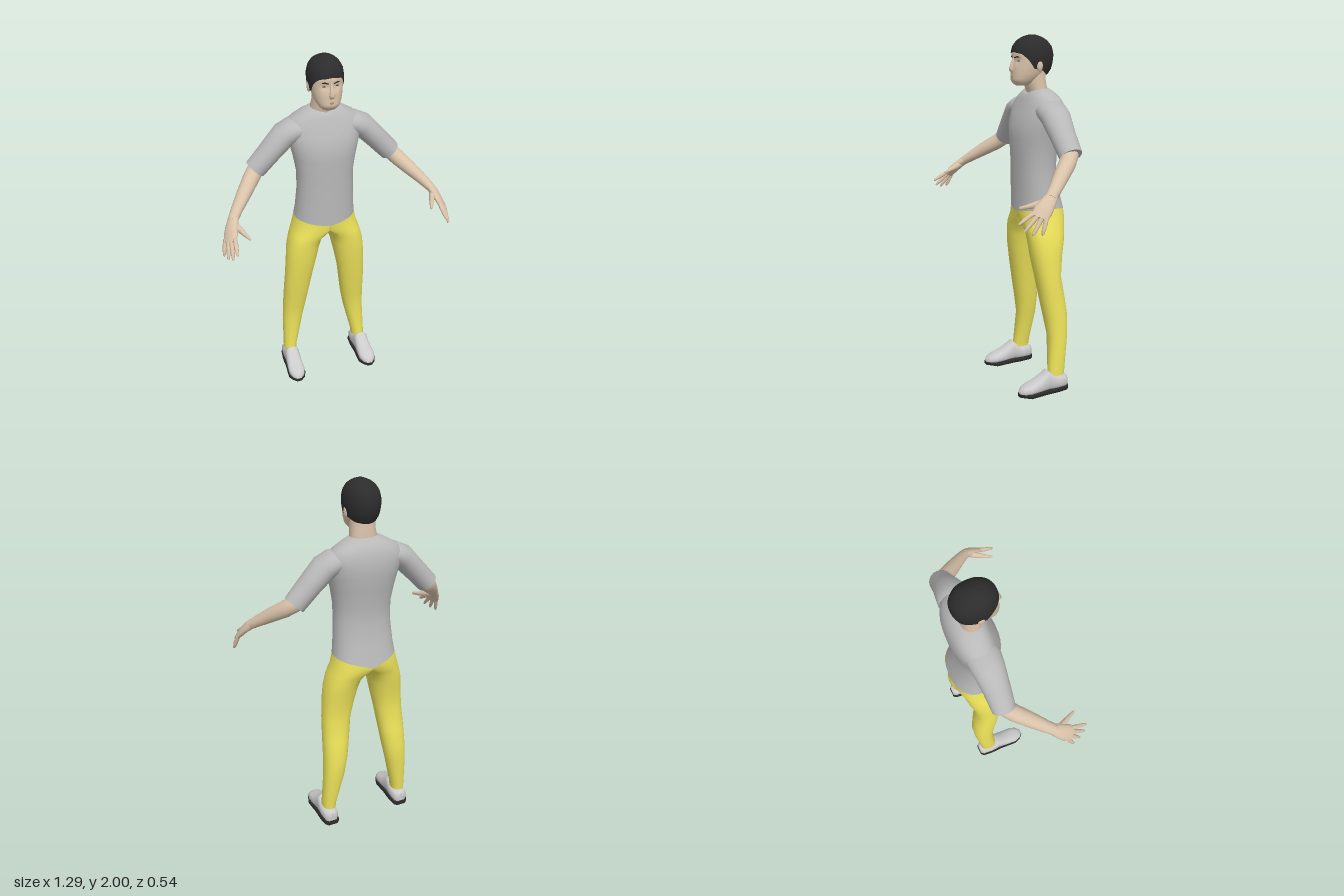
import * as THREE from 'three';
import { toCreasedNormals } from 'three/addons/utils/BufferGeometryUtils.js';

const V = (x, y, z) => new THREE.Vector3(x, y, z);
const mat = (color) => new THREE.MeshStandardMaterial({ color, side: THREE.DoubleSide });
const skin = mat(0xd9c2a9), shirt = mat(0xb9b9b9), pants = mat(0xeee45a);
const dark = mat(0x2c2c2c), shoe = mat(0xcccccc), lip = mat(0xb98f7c);

// Rounded power used for superellipse cross-sections
const pw = (t, p) => Math.sign(t) * Math.pow(Math.abs(t), 2 / p);

// Linear lookup in rows sorted by their first value
function lookup(rows, t) {
  let i = 0;
  while (i < rows.length - 2 && t > rows[i + 1][0]) i++;
  const [a, b] = [rows[i], rows[i + 1]];
  const k = THREE.MathUtils.clamp((t - a[0]) / (b[0] - a[0]), 0, 1);
  return a.map((v, j) => v + (b[j] - v) * k);
}

// Skin through rings of points, capped at both ends; side -1 mirrors in x
function loft(rings, side = 1) {
  if (side < 0) rings = rings.map((r) => r.map((p) => V(-p.x, p.y, p.z)).reverse());
  const n = rings[0].length, pos = [], idx = [];
  rings.forEach((r) => r.forEach((p) => pos.push(p.x, p.y, p.z)));
  for (let i = 0; i < rings.length - 1; i++)
    for (let j = 0; j < n; j++) {
      const k = (j + 1) % n, a = i * n + j, b = i * n + k, c = a + n, d = b + n;
      idx.push(a, b, d, a, d, c);
    }
  [0, rings.length - 1].forEach((e, q) => {
    const m = rings[e].reduce((s, p) => s.add(p), V(0, 0, 0)).divideScalar(n);
    const ci = pos.length / 3;
    pos.push(m.x, m.y, m.z);
    for (let j = 0; j < n; j++) {
      const a = e * n + j, b = e * n + ((j + 1) % n);
      q ? idx.push(ci, a, b) : idx.push(ci, b, a);
    }
  });
  const g = new THREE.BufferGeometry();
  g.setAttribute('position', new THREE.Float32BufferAttribute(pos, 3));
  g.setIndex(idx);
  return toCreasedNormals(g, 1.05);
}

// Horizontal ring; its edge can dip toward the middle of front and back
function ringY(y, x0, x1, zf, zb, { p = 2.3, n = 28, dipF = 0, dipB = 0, minX = -9 } = {}) {
  return Array.from({ length: n }, (_, j) => {
    const t = (j / n) * Math.PI * 2, c = pw(Math.cos(t), p), s = pw(Math.sin(t), p);
    return V(Math.max(minX, (x0 + x1) / 2 + ((x1 - x0) / 2) * s),
      y - (c > 0 ? dipF : dipB) * (1 - Math.abs(s)), (zf + zb) / 2 + ((zf - zb) / 2) * c);
  });
}

// Limb through stations [x, y, z, half size along ref, half size across]
function limb(st, ref, n = 14) {
  const pts = st.map((s) => V(s[0], s[1], s[2]));
  return st.map((s, i) => {
    const d = pts[Math.min(i + 1, st.length - 1)].clone().sub(pts[Math.max(i - 1, 0)]).normalize();
    const u = ref.clone().addScaledVector(d, -ref.dot(d)).normalize(), v = d.clone().cross(u);
    return Array.from({ length: n }, (_, j) => {
      const t = (j / n) * Math.PI * 2;
      return pts[i].clone().addScaledVector(u, s[3] * Math.cos(t)).addScaledVector(v, s[4] * Math.sin(t));
    });
  });
}

export function createModel() {
  const model = new THREE.Group();
  const add = (name, geo, material) => {
    const m = new THREE.Mesh(geo, material);
    m.name = name;
    model.add(m);
    return m;
  };

  // Shirt body: y, half width, front z, back z, front dip, back dip
  add('shirtBody', loft([
    [1.066, .175, -.005, -.272, .03, .05], [1.13, .167, -.004, -.25, .01, .01],
    [1.25, .16, -.003, -.221], [1.35, .16, 0, -.226], [1.44, .175, .004, -.24],
    [1.52, .194, .002, -.252], [1.58, .21, -.02, -.255], [1.63, .212, -.04, -.248],
    [1.665, .175, -.054, -.238], [1.693, .127, -.064, -.22, .008, 0], [1.716, .083, -.074, -.192, .026, 0],
  ].map(([y, w, f, b, dipF = 0, dipB = 0]) => ringY(y, -w, w, f, b, { dipF, dipB }))), shirt);

  // Neck
  add('neck', loft([[1.66, .075, -.085, -.18], [1.705, .074, -.078, -.185], [1.76, .066, -.058, -.176],
    [1.83, .066, -.05, -.175]].map(([y, w, f, b]) => ringY(y, -w, w, f, b))), skin);

  // Head with eye sockets pressed in
  const headRows = [[1.735, .036, -.006, -.07], [1.75, .053, .012, -.1], [1.765, .062, .019, -.12],
    [1.79, .073, .018, -.15], [1.82, .08, .017, -.175], [1.86, .085, .012, -.19],
    [1.9, .086, .011, -.2], [1.94, .077, 0, -.19], [1.975, .045, -.035, -.155]];
  const headRings = Array.from({ length: 25 }, (_, i) => {
    const [y, w, f, b] = lookup(headRows, 1.735 + i * .01);
    return ringY(y, -w, w, f, b, { n: 36 }).map((p) => {
      const r2 = (Math.abs(p.x) - .033) ** 2 + (p.y - 1.866) ** 2;
      if (p.z > -.06) p.z -= .011 * Math.exp(-r2 / .0003);
      return p;
    });
  });
  add('head', loft(headRings), skin);

  // Nose and lips
  add('nose', loft(limb([[0, 1.883, .006, .007, .007], [0, 1.845, .017, .01, .011],
    [0, 1.82, .022, .017, .014], [0, 1.807, .014, .012, .008]], V(1, 0, 0), 10)), skin);
  add('lips', loft(limb([[-.025, 1.779, .006, .002, .003], [0, 1.782, .018, .007, .006],
    [.025, 1.779, .006, .002, .003]], V(0, 1, 0), 8)), lip);

  // Hair cap whose lower edge follows the hairline around the head
  const hairRows = [[1.785, .07, .016, -.186], [1.82, .086, .016, -.208], [1.86, .093, .016, -.219],
    [1.9, .095, .017, -.222], [1.94, .088, .008, -.211], [1.97, .071, -.015, -.187],
    [1.99, .045, -.045, -.155], [2, .018, -.075, -.125]];
  const hairLine = [[0, 1.915], [40, 1.905], [60, 1.875], [82, 1.822], [100, 1.82], [130, 1.797], [180, 1.787]];
  add('hair', loft(Array.from({ length: 13 }, (_, i) => Array.from({ length: 40 }, (_, j) => {
    const t = (j / 40) * Math.PI * 2, deg = Math.min(j, 40 - j) * 9;
    const low = lookup(hairLine, deg)[1], k = Math.sin((i / 12) * Math.PI / 2);
    const [y, w, f, b] = lookup(hairRows, low + (2 - low) * k);
    return V(w * pw(Math.sin(t), 2.2), y, (f + b) / 2 + ((f - b) / 2) * pw(Math.cos(t), 2.2));
  }))), dark);

  for (const side of [1, -1]) {
    const tag = side > 0 ? 'left' : 'right';
    const part = (name, rings, material) => add(tag + name, loft(rings, side), material);

    // Eye, eyebrow and ear
    const ball = (name, x, y, z, sx, sy, sz, m) => {
      const b = add(tag + name, new THREE.SphereGeometry(1, 14, 10), m);
      b.position.set(side * x, y, z);
      b.scale.set(sx, sy, sz);
    };
    ball('Eye', .033, 1.865, -.008, .011, .005, .008, dark);
    ball('Ear', .087, 1.84, -.105, .01, .03, .018, skin);
    part('Eyebrow', limb([[.013, 1.882, .009, .003, .003], [.035, 1.888, .003, .004, .004],
      [.058, 1.882, -.016, .002, .003]], V(0, 1, 0), 8), dark);

    // Sleeve and forearm
    part('Sleeve', limb([[.11, 1.61, -.135, .075, .045], [.17, 1.602, -.135, .09, .062],
      [.22, 1.575, -.133, .084, .067], [.3, 1.492, -.13, .072, .062], [.388, 1.398, -.13, .062, .059]],
    V(0, 0, 1), 20), shirt);
    part('Forearm', limb([[.335, 1.45, -.13, .04, .04], [.385, 1.4, -.125, .046, .045],
      [.425, 1.362, -.085, .045, .044], [.475, 1.318, -.025, .041, .039],
      [.53, 1.268, .04, .034, .03], [.565, 1.232, .085, .03, .024]], V(-.5, .3, .6), 16), skin);

    // Hand: palm, four fingers and thumb
    const spread = V(-.58, .29, .76);
    part('Palm', limb([[.555, 1.243, .07, .03, .024], [.575, 1.215, .105, .04, .021],
      [.59, 1.182, .14, .047, .018], [.602, 1.152, .167, .043, .012]], spread, 16), skin);
    [[.578, 1.168, .192, .583, 1.125, .268], [.594, 1.158, .175, .605, 1.09, .25],
      [.608, 1.148, .158, .624, 1.075, .213], [.622, 1.142, .14, .638, 1.074, .168]].forEach((f, i) => {
      const a = V(f[0], f[1], f[2]), b = V(f[3], f[4], f[5]);
      const at = (k, r) => [...a.clone().lerp(b, k).toArray(), r, r];
      part('Finger' + (i + 1), limb([at(-.2, .011), at(.2, .012), at(.65, .01), at(.92, .007), at(1, .003)], spread, 8), skin);
    });
    part('Thumb', limb([[.565, 1.22, .1, .018, .018], [.542, 1.205, .145, .018, .016],
      [.522, 1.193, .187, .012, .011], [.507, 1.186, .22, .008, .007], [.504, 1.185, .228, .003, .003]],
    V(0, 1, 0), 10), skin);

    // Trouser leg, meeting its twin at the centre line: y, inner x, outer x, front z, back z
    part('TrouserLeg', [
      [.1, .188, .264, -.102, -.2], [.135, .184, .264, -.103, -.203], [.33, .138, .258, -.114, -.227],
      [.44, .117, .253, -.095, -.232], [.55, .1, .249, -.075, -.217], [.68, .08, .243, -.053, -.196],
      [.8, .055, .234, -.032, -.211], [.87, .04, .227, -.025, -.226], [.93, .02, .212, -.02, -.238],
      [.96, -.02, .203, -.017, -.246], [1.0, -.12, .189, -.013, -.266], [1.066, -.174, .174, -.007, -.271, .03, .05],
    ].map(([y, a, b, f, k, dipF = 0, dipB = 0]) => ringY(y, a, b, f, k, { dipF, dipB, minX: 0 })), pants);

    // Shoe upper and sole: z, half width, height
    const foot = [[-.216, .026, .08], [-.2, .041, .088], [-.15, .046, .094], [-.115, .046, .115],
      [-.088, .045, .138], [-.06, .045, .115], [-.02, .048, .09], [.03, .05, .07], [.065, .037, .059], [.088, .013, .042]];
    const slice = (z, w, y0, y1, p) => Array.from({ length: 20 }, (_, j) => {
      const t = (j / 20) * Math.PI * 2;
      return V(.231 + .02 * z + w * pw(Math.cos(t), p), (y0 + y1) / 2 + ((y1 - y0) / 2) * pw(Math.sin(t), p), z);
    });
    part('Shoe', foot.map(([z, w, h]) => slice(z, w, .012, h, 2.6)), shoe);
    part('Sole', foot.map(([z, w]) => slice(z * 1.01, w + .003, z > .05 ? .008 : 0, .028, 9)), dark);
  }
  return model;
}
